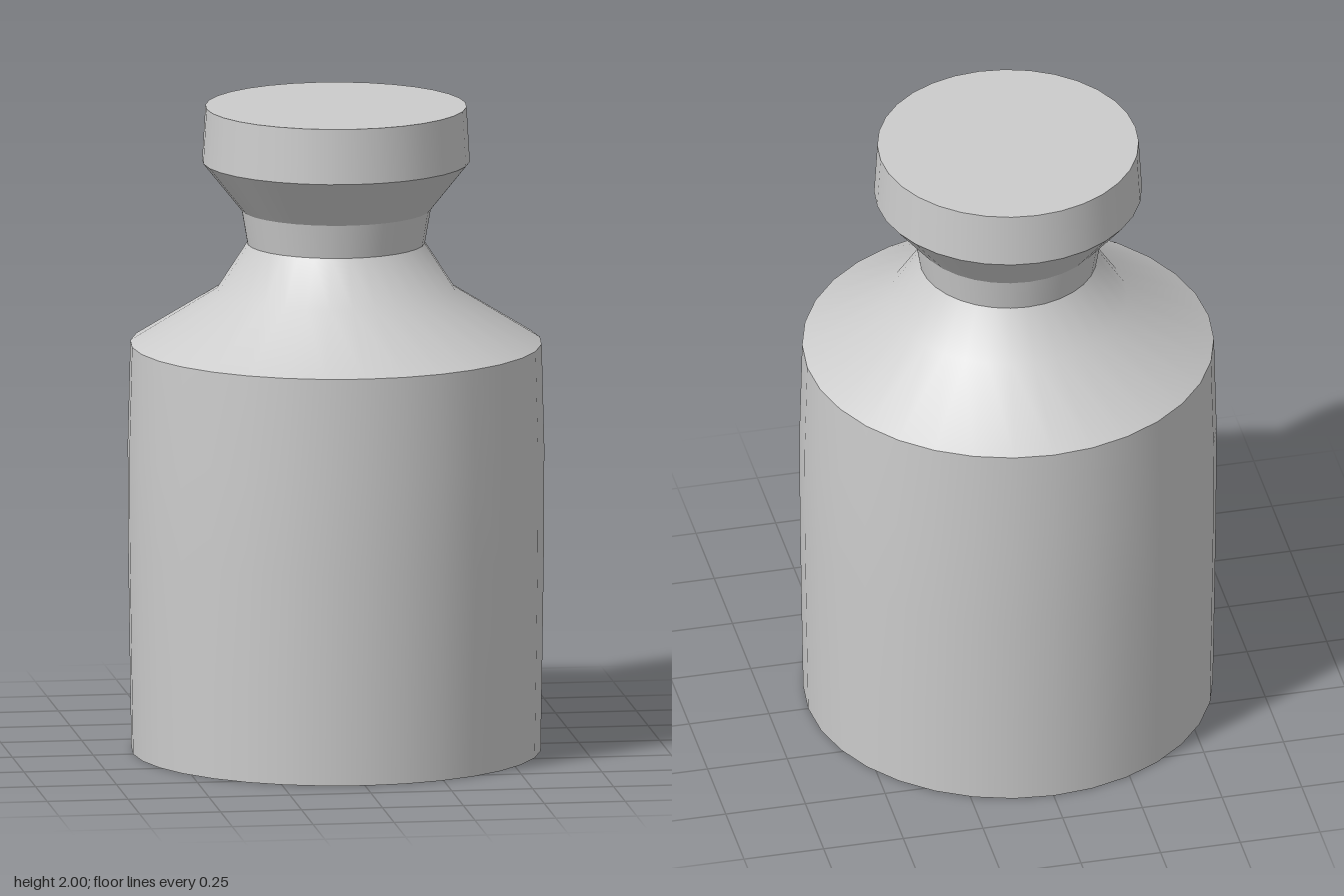
import * as THREE from 'three';

const SIDES = 32;

// Each section is [radius, height] pairs, bottom to top; smooth inside, sharp where sections meet.
const sections = {
  base: [[0, 0], [0.627, 0]],
  body: [[0.627, 0], [0.632, 0.3], [0.637, 0.65], [0.638, 0.95], [0.63, 1.265]],
  shoulder: [[0.63, 1.265], [0.365, 1.43], [0.272, 1.575]],
  neck: [[0.272, 1.575], [0.29, 1.68]],
  flare: [[0.29, 1.68], [0.41, 1.83]],
  knobRim: [[0.41, 1.83], [0.4, 2]],
  knobTop: [[0.4, 2], [0, 2]],
};

export function createModel() {
  const group = new THREE.Group();
  group.name = 'knobbedWeight';
  const material = new THREE.MeshStandardMaterial({ color: 0xcccccc });

  for (const [name, profile] of Object.entries(sections)) {
    const points = profile.map(([r, y]) => new THREE.Vector2(r, y));
    const mesh = new THREE.Mesh(new THREE.LatheGeometry(points, SIDES), material);
    mesh.name = name;
    group.add(mesh);
  }
  return group;
}
